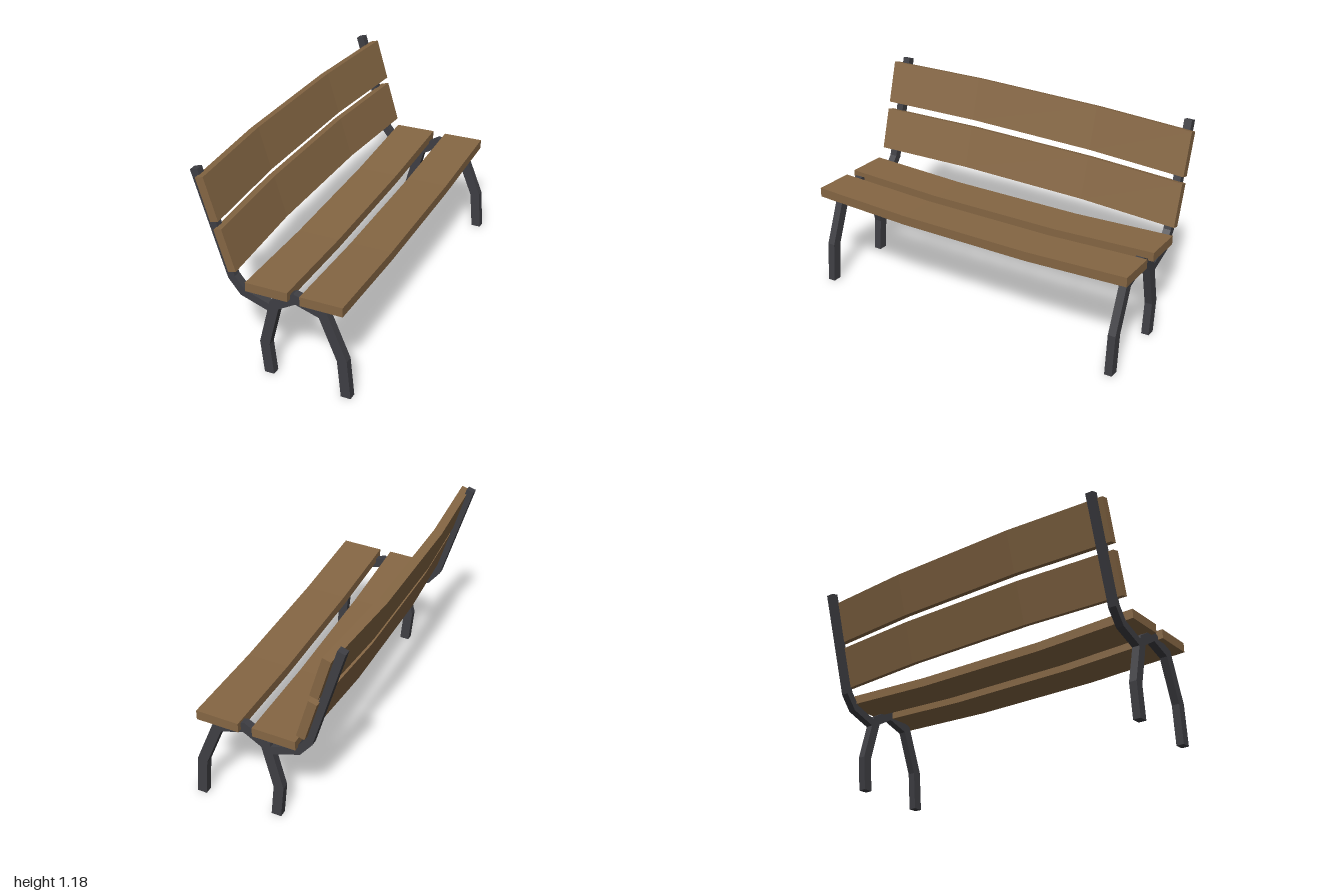
import * as THREE from 'three';

const wood = new THREE.MeshStandardMaterial({ color: 0x866744, flatShading: true });
const metal = new THREE.MeshStandardMaterial({ color: 0x3f3f44, flatShading: true });

// Flat bar of constant width following a path in the xy plane, with mitred bends
function barGeometry(path, width, depth) {
  const pts = path.map(([x, y]) => new THREE.Vector2(x, y));
  const left = [], right = [];
  pts.forEach((p, i) => {
    const a = pts[Math.max(i - 1, 0)], b = pts[Math.min(i + 1, pts.length - 1)];
    const d1 = (i > 0 ? p.clone().sub(a) : b.clone().sub(p)).normalize();
    const d2 = (i < pts.length - 1 ? b.clone().sub(p) : d1.clone()).normalize();
    const t = d1.clone().add(d2).normalize();
    const n = new THREE.Vector2(-t.y, t.x).multiplyScalar(width / 2 / t.dot(d1));
    left.push(p.clone().add(n));
    right.push(p.clone().sub(n));
  });
  const outline = left.concat(right.reverse());
  outline.forEach((p) => { p.y = Math.max(p.y, 0); });
  return new THREE.ExtrudeGeometry(new THREE.Shape(outline), { depth, bevelEnabled: false })
    .translate(0, 0, -depth / 2);
}

// Plank along z: section at z = 1, a drift towards z = -1, and a sag of the middle
function plank(name, section, drift, sag) {
  const shape = new THREE.Shape(section.map(([x, y]) => new THREE.Vector2(x, y)));
  const geo = new THREE.ExtrudeGeometry(shape, { depth: 2, steps: 3, bevelEnabled: false });
  const pos = geo.attributes.position;
  for (let i = 0; i < pos.count; i++) {
    let z = pos.getZ(i) - 1;
    const middle = Math.abs(z) < 0.9 ? 1 : 0;
    if (middle) z = Math.sign(z) * 0.4;
    const t = (1 - z) / 2;
    pos.setXYZ(i,
      pos.getX(i) + drift[0] * t + sag[0] * middle,
      pos.getY(i) + drift[1] * t + sag[1] * middle, z);
  }
  geo.computeVertexNormals();
  const mesh = new THREE.Mesh(geo, wood);
  mesh.name = name;
  return mesh;
}

export function createModel() {
  const bench = new THREE.Group();
  bench.name = 'bench';

  // Iron frames at both ends: arched legs and a bent back support
  const legs = barGeometry([
    [0.42, 0], [0.399, 0.235], [0.29, 0.499], [0.127, 0.545],
    [0.004, 0.468], [-0.063, 0.2], [-0.043, 0],
  ], 0.058, 0.045);
  const support = barGeometry([
    [-0.01, 0.438], [-0.183, 0.492], [-0.247, 0.57], [-0.431, 1.172],
  ], 0.046, 0.045);
  for (const side of [1, -1]) {
    const frame = new THREE.Group();
    frame.name = side > 0 ? 'frontFrame' : 'rearFrame';
    const legMesh = new THREE.Mesh(legs, metal);
    legMesh.name = 'legArch';
    const supportMesh = new THREE.Mesh(support, metal);
    supportMesh.name = 'backSupport';
    frame.add(legMesh, supportMesh);
    frame.position.z = side * 0.947;
    bench.add(frame);
  }

  // Seat planks, sagging downwards
  bench.add(
    plank('outerSeatPlank',
      [[0.175, 0.54], [0.422, 0.55], [0.422, 0.606], [0.175, 0.595]], [-0.03, -0.01], [0, -0.024]),
    plank('innerSeatPlank',
      [[-0.147, 0.53], [0.103, 0.541], [0.103, 0.595], [-0.147, 0.584]], [-0.039, -0.01], [0, -0.024]),
  );

  // Backrest planks, bowed backwards
  bench.add(
    plank('upperBackPlank',
      [[-0.333, 0.903], [-0.285, 0.917], [-0.357, 1.16], [-0.405, 1.145]], [0.014, -0.02], [-0.04, 0]),
    plank('lowerBackPlank',
      [[-0.245, 0.62], [-0.198, 0.635], [-0.27, 0.875], [-0.318, 0.86]], [0.006, -0.015], [-0.037, 0]),
  );

  return bench;
}
